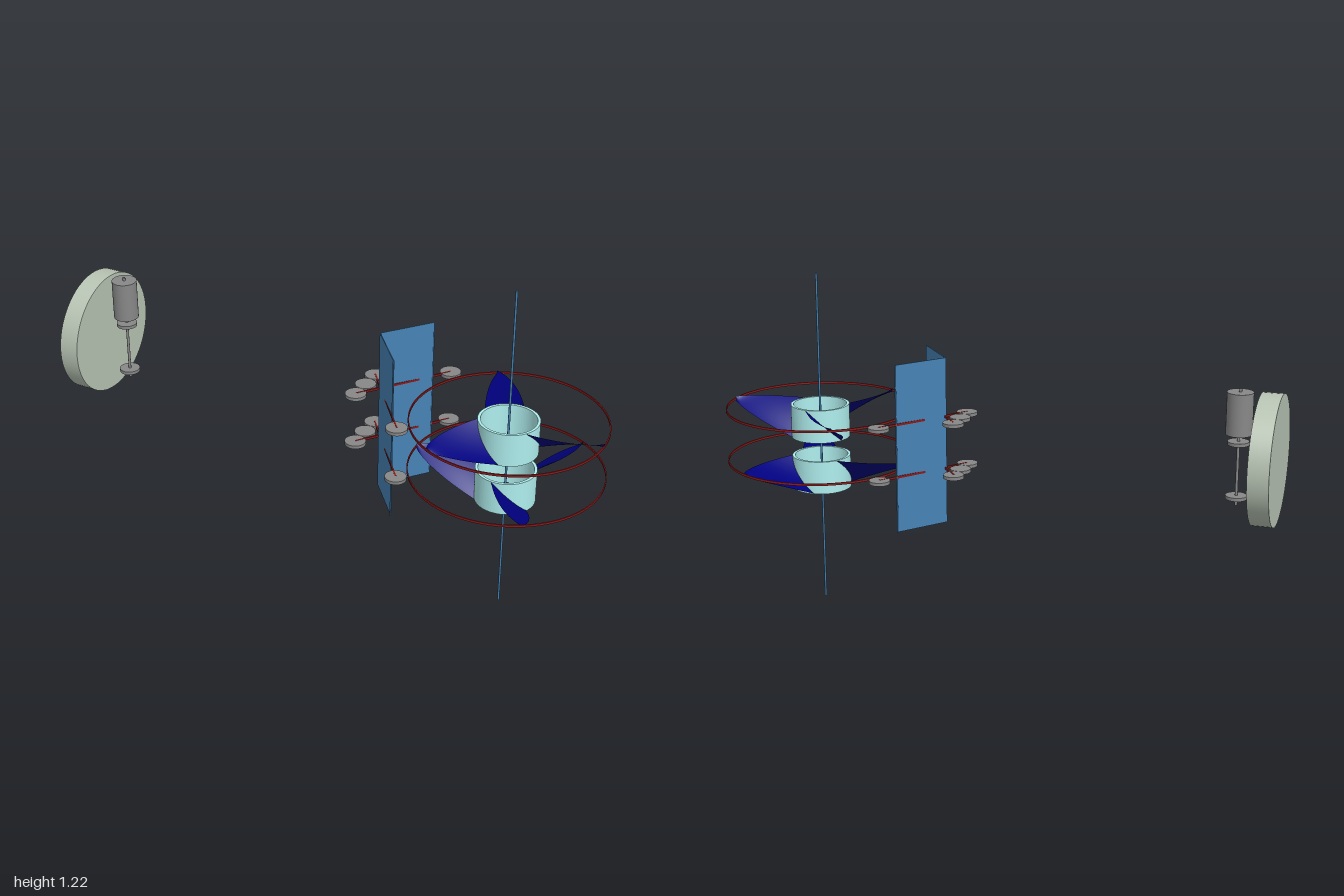
import * as THREE from 'three';

const mat = (color, side = THREE.FrontSide) => new THREE.MeshStandardMaterial({ color, side });
const STEEL = mat(0x4682b4);
const GREY = mat(0x888888);
const RED = mat(0x8b1a1a);
const PALE = mat(0xafeeee);
const NAVY = mat(0x000080, THREE.DoubleSide);
const DISC = mat(0xb8c4b4);

const LEVELS = [0.54, 0.73]; // heights of the two belt planes
const AXIS_X = 0.655; // rotor axis

function add(parent, name, geometry, material, x = 0, y = 0, z = 0) {
  const mesh = new THREE.Mesh(geometry, material);
  mesh.name = name;
  mesh.position.set(x, y, z);
  parent.add(mesh);
  return mesh;
}

// Upright cylinder between two heights
function post(parent, name, r, y0, y1, x, z, material, sides = 32) {
  return add(parent, name, new THREE.CylinderGeometry(r, r, y1 - y0, sides), material, x, (y0 + y1) / 2, z);
}

// Square-edged hollow ring or tube
function band(inner, outer, height) {
  const shape = new THREE.Shape().absarc(0, 0, outer, 0, Math.PI * 2);
  shape.holes.push(new THREE.Path().absarc(0, 0, inner, 0, Math.PI * 2, true));
  return new THREE.ExtrudeGeometry(shape, { depth: height, bevelEnabled: false, curveSegments: 48 })
    .translate(0, 0, -height / 2).rotateX(Math.PI / 2);
}

// Pitched blade pointing to +x: wide and steep at the hub, flat and pointed at the tip
function bladeGeometry() {
  const geo = new THREE.PlaneGeometry(1, 2, 20, 10);
  const p = geo.attributes.position;
  for (let i = 0; i < p.count; i++) {
    const u = p.getX(i) + 0.5;
    const v = p.getY(i);
    const rootZ = 0.062 * v;
    const rootX = Math.sqrt(0.102 ** 2 - rootZ ** 2);
    const z = rootZ * Math.pow(Math.max(0, 1 - u ** 2.5), 0.8);
    const drop = (0.015 + 0.103 * (1 - u)) * (1 - v) / 2;
    p.setXYZ(i, rootX + (0.335 - rootX) * u, -drop, z);
  }
  geo.computeVertexNormals();
  return geo;
}

// Straight bar between two points in plan, at height y
function bar(parent, name, a, b, y, height, thickness, material) {
  const dx = b[0] - a[0], dz = b[1] - a[1];
  const mesh = add(parent, name, new THREE.BoxGeometry(Math.hypot(dx, dz), height, thickness), material,
    (a[0] + b[0]) / 2, y, (a[1] + b[1]) / 2);
  mesh.rotation.y = -Math.atan2(dz, dx);
  return mesh;
}

export function createModel() {
  const model = new THREE.Group();
  model.name = 'twinRotorMachine';

  // Large upright disc at the far side
  add(model, 'largeDisc', new THREE.CylinderGeometry(0.225, 0.225, 0.072, 64), DISC, -0.964, 0.68, 0)
    .rotation.z = Math.PI / 2;

  // Motor with shaft and two drive pulleys
  const motor = new THREE.Group();
  motor.name = 'motor';
  model.add(motor);
  post(motor, 'motorBody', 0.045, 0.76, 0.906, -0.86, 0, GREY);
  post(motor, 'motorShaft', 0.005, 0.51, 0.918, -0.86, 0, GREY, 16);
  for (const y of LEVELS) post(motor, 'drivePulley', 0.037, y - 0.006, y + 0.006, -0.86, 0, GREY);

  // Central mast
  post(model, 'mast', 0.004, 0, 1.215, AXIS_X, 0, STEEL, 12);

  // Two rotors, the lower turned half a blade spacing
  const blade = bladeGeometry();
  LEVELS.forEach((y, level) => {
    const rotor = new THREE.Group();
    rotor.name = level ? 'upperRotor' : 'lowerRotor';
    rotor.position.set(AXIS_X, y, 0);
    model.add(rotor);
    add(rotor, 'hub', band(0.095, 0.105, 0.12), PALE, 0, -0.05, 0);
    add(rotor, 'outerRing', band(0.332, 0.336, 0.008), RED);
    for (let i = 0; i < 3; i++) {
      add(rotor, 'blade', blade, NAVY, 0, 0.009, 0).rotation.y = (i * 2 + (level ? 0 : 1)) * Math.PI / 3;
    }
  });

  // Guide pulleys and crossing belts on each level
  for (const y of LEVELS) {
    for (const [x, z] of [[0.122, -0.075], [0.122, 0], [0.122, 0.075], [0.345, -0.215], [0.345, 0.215]]) {
      post(model, 'guidePulley', 0.037, y - 0.006, y + 0.006, x, z, GREY);
    }
    for (const s of [-1, 1]) {
      bar(model, 'belt', [0.122, -0.075 * s], [0.345, 0.215 * s], y + 0.003, 0.008, 0.005, RED);
    }
  }

  // V-shaped deflector: two thin panels with an edge strip
  for (const s of [-1, 1]) {
    bar(model, 'deflectorPanel', [0.175, 0], [0.302, 0.155 * s], 0.6425, 0.605, 0.003, STEEL);
    post(model, 'panelEdge', 0.003, 0.34, 0.942, 0.302, 0.159 * s, STEEL, 8);
  }

  return model;
}
